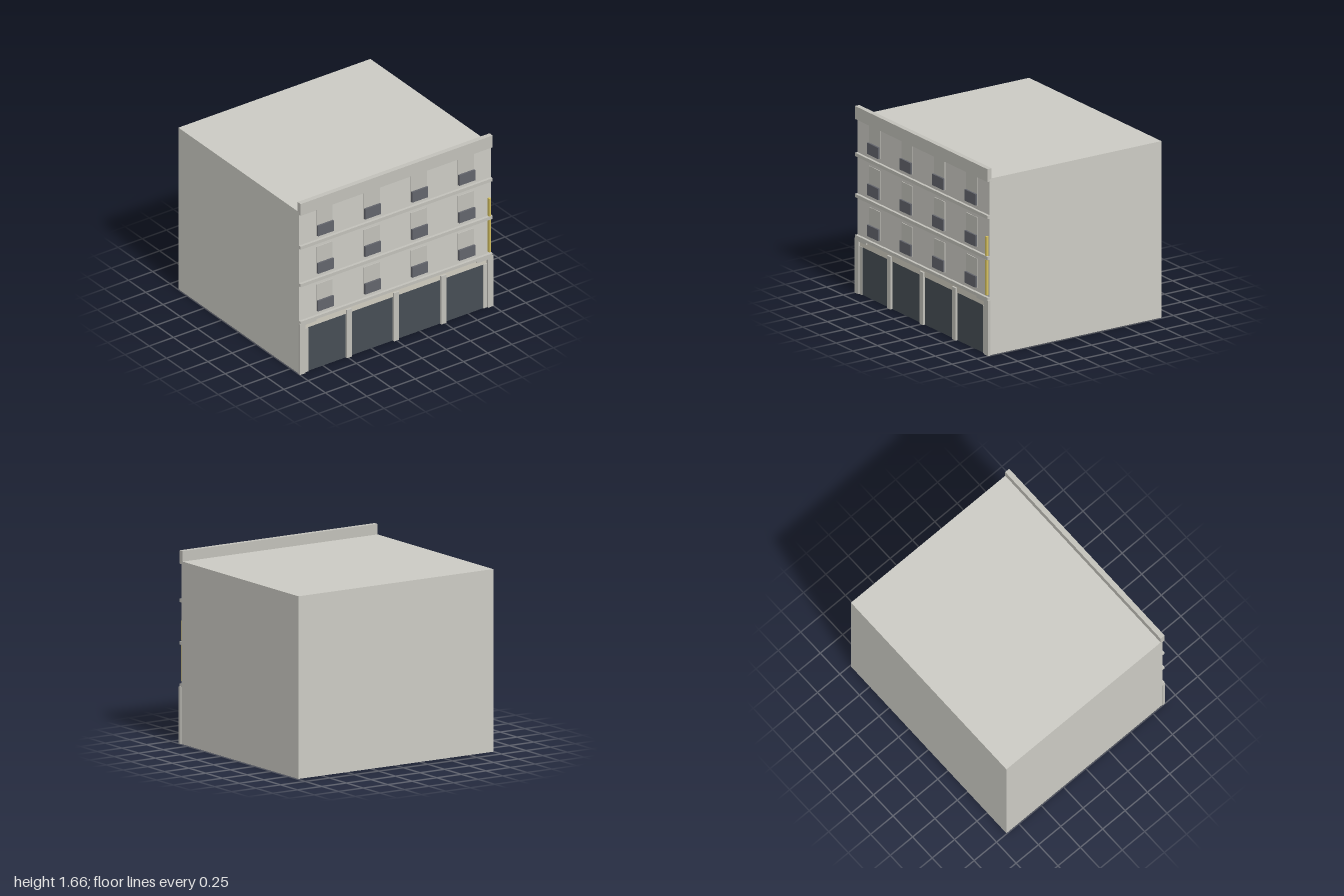
import * as THREE from 'three';

const mat = (color) => new THREE.MeshStandardMaterial({ color, flatShading: true });

export function createModel() {
  const group = new THREE.Group();
  const wall = mat(0xcccbc4), trim = mat(0xc2c1ba), pale = mat(0xd0ccc0);
  const glass = mat(0x474e55), unit = mat(0x63656c), yellow = mat(0xd4c060);

  // Box given by its limits on each axis
  const box = (name, material, x0, x1, y0, y1, z0, z1) => {
    const mesh = new THREE.Mesh(new THREE.BoxGeometry(x1 - x0, y1 - y0, z1 - z0), material);
    mesh.position.set((x0 + x1) / 2, (y0 + y1) / 2, (z0 + z1) / 2);
    mesh.name = name;
    group.add(mesh);
  };
  const L = -0.995, R = 0.99, F = 0.86, P = 0.885;

  // Main block and roof parapet
  box('buildingBlock', wall, L, R, 0, 1.57, -0.885, F);
  box('parapet', trim, L, R, 1.545, 1.66, 0.84, P);

  // Floor bands
  for (const y of [0.85, 1.215]) box('floorBand', trim, L, R, y, y + 0.03, F, P);

  // Window panels, each with a dark box at its foot
  for (const y of [0.55, 0.915, 1.28]) {
    for (const x of [-0.732, -0.245, 0.242, 0.728]) {
      box('windowPanel', trim, x - 0.082, x + 0.082, y, y + 0.26, F, 0.866);
      box('windowBox', unit, x - 0.082, x + 0.082, y + 0.005, y + 0.105, 0.868, P);
    }
  }

  // Shop front: surround, lintel, glazing and columns
  box('shopBand', trim, L, R, 0.488, 0.515, F, P);
  box('shopLintel', pale, -0.94, 0.94, 0.425, 0.488, F, 0.868);
  for (const [x0, x1] of [[-0.91, -0.51], [-0.465, -0.03], [0.025, 0.46], [0.51, 0.905]])
    box('shopWindow', glass, x0, x1, 0, 0.425, F, 0.865);
  for (const x of [-0.49, -0.002, 0.485])
    box('shopColumn', trim, x - 0.026, x + 0.026, 0, 0.467, F, P);
  for (const s of [-1, 1]) {
    const side = (name, m, a, b, y0, y1, z) =>
      box(name, m, Math.min(s * a, s * b), Math.max(s * a, s * b), y0, y1, F, z);
    side('cornerPier', trim, 0.943, 1, 0, 0.49, P);
    side('sideTrim', trim, 0.907, 0.943, 0, 0.425, 0.872);
    side('cornerBracket', trim, 0.83, 0.943, 0.47, 0.488, P);
  }

  // Vertical yellow sign strips
  box('signStrip', yellow, 0.955, 0.975, 0.533, 0.848, F, P);
  box('signStrip', yellow, 0.955, 0.975, 0.882, 1.053, F, P);
  return group;
}
